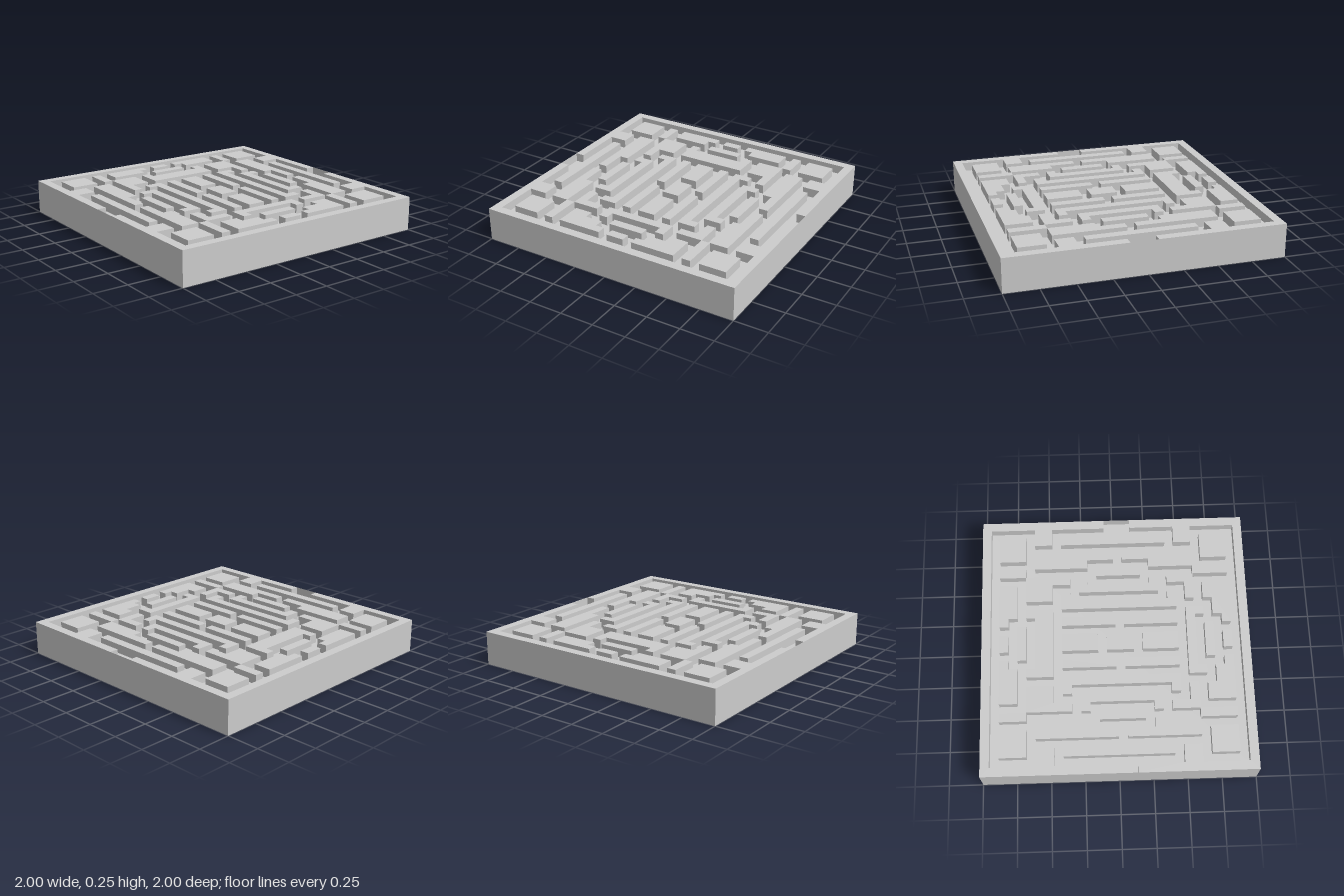
import * as THREE from 'three';

const CELLS = 30, CELL = 2 / CELLS;
const HEIGHT = 0.25, WALL = CELL, FLOOR = HEIGHT - WALL;

const box = (x0, z0, x1, z1) => [[x0, z0], [x1, z0], [x1, z1], [x0, z1]];
const flip = (pts) => pts.map(([x, z]) => [CELLS - x, z]);
// Closes a left-hand outline with its own mirror image
const whole = (pts) => [...pts, ...flip(pts).reverse()];

// Wall outlines in grid cells (x, z from the back left corner); these get a mirrored twin
const sideWalls = {
  cornerBlock: [box(2, 2, 5, 5), box(2, 25, 5, 28)],
  narrowBlock: [box(6, 2, 7, 5), box(6, 13, 7, 18), box(6, 24, 7, 28)],
  longBar: [box(2, 9, 3, 21)],
  innerBar: [box(12, 9, 13, 15), box(12, 16, 13, 22)],
  steppedBlock: [
    [[8, 2], [13, 2], [13, 3], [12, 3], [12, 4], [8, 4]],
    [[8, 25], [10, 25], [10, 26], [12, 26], [12, 27], [13, 27], [13, 28], [8, 28]],
  ],
  hookBlock: [
    [[7, 5], [10, 5], [10, 8], [8, 8], [8, 10], [7, 10]],
    [[7, 21], [8, 21], [8, 23], [10, 23], [10, 24], [7, 24]],
  ],
  sideBlock: [
    [[4, 6], [6, 6], [6, 12], [5, 12], [5, 15], [4, 15]],
    [[4, 16], [5, 16], [5, 19], [6, 19], [6, 24], [4, 24]],
  ],
  bracket: [
    [[7, 11], [9, 11], [9, 20], [7, 20], [7, 19], [8, 19], [8, 12], [7, 12]],
    [[9, 9], [11, 9], [11, 22], [9, 22], [9, 21], [10, 21], [10, 10], [9, 10]],
  ],
};

// Walls lying on the centre line
const middleWalls = {
  centreBlock: [box(14, 2, 16, 3), box(13, 4, 17, 5), box(14, 9, 16, 13), box(14, 14, 16, 17),
    box(14, 18, 16, 22), box(13, 25, 17, 26), box(14, 27, 16, 28)],
  channelWall: [
    whole([[12, 6], [12, 5], [11, 5], [11, 8]]),
    whole([[12, 24], [12, 25], [11, 25], [11, 23]]),
  ],
  rim: [
    whole([[0, 0], [0, 14], [1, 14], [1, 8], [3, 8], [3, 6], [1, 6], [1, 1]]),
    whole([[0, 30], [0, 17], [1, 17], [1, 22], [3, 22], [3, 24], [1, 24], [1, 29]]),
  ],
};

export function createModel() {
  const group = new THREE.Group();
  const material = new THREE.MeshStandardMaterial({ color: 0xcccccc, flatShading: true });
  const thin = new THREE.MeshStandardMaterial({ color: 0xcccccc, side: THREE.DoubleSide });

  const add = (name, geometry, mat = material) => {
    const mesh = new THREE.Mesh(geometry, mat);
    mesh.name = name;
    group.add(mesh);
    return mesh;
  };

  // Raises a grid outline from the floor to the top
  const addWall = (name, pts) => {
    const shape = new THREE.Shape(pts.map(([x, z]) => new THREE.Vector2(x * CELL - 1, 1 - z * CELL)));
    const geometry = new THREE.ExtrudeGeometry(shape, { depth: WALL, bevelEnabled: false });
    geometry.rotateX(-Math.PI / 2).translate(0, FLOOR, 0);
    add(name, geometry);
  };

  // Solid slab under the maze
  add('base', new THREE.BoxGeometry(2, FLOOR, 2).translate(0, FLOOR / 2, 0));

  for (const [name, outlines] of Object.entries(sideWalls)) {
    for (const pts of outlines) {
      addWall(name, pts);
      addWall(name, flip(pts));
    }
  }
  for (const [name, outlines] of Object.entries(middleWalls)) {
    for (const pts of outlines) addWall(name, pts);
  }

  // Thin outer skin closing the recess in each side of the rim
  for (const side of [-1, 1]) {
    const skin = add('rimSkin', new THREE.PlaneGeometry(3 * CELL, WALL), thin);
    skin.rotation.y = side * Math.PI / 2;
    skin.position.set(side, FLOOR + WALL / 2, 0.5 * CELL);
  }

  return group;
}
